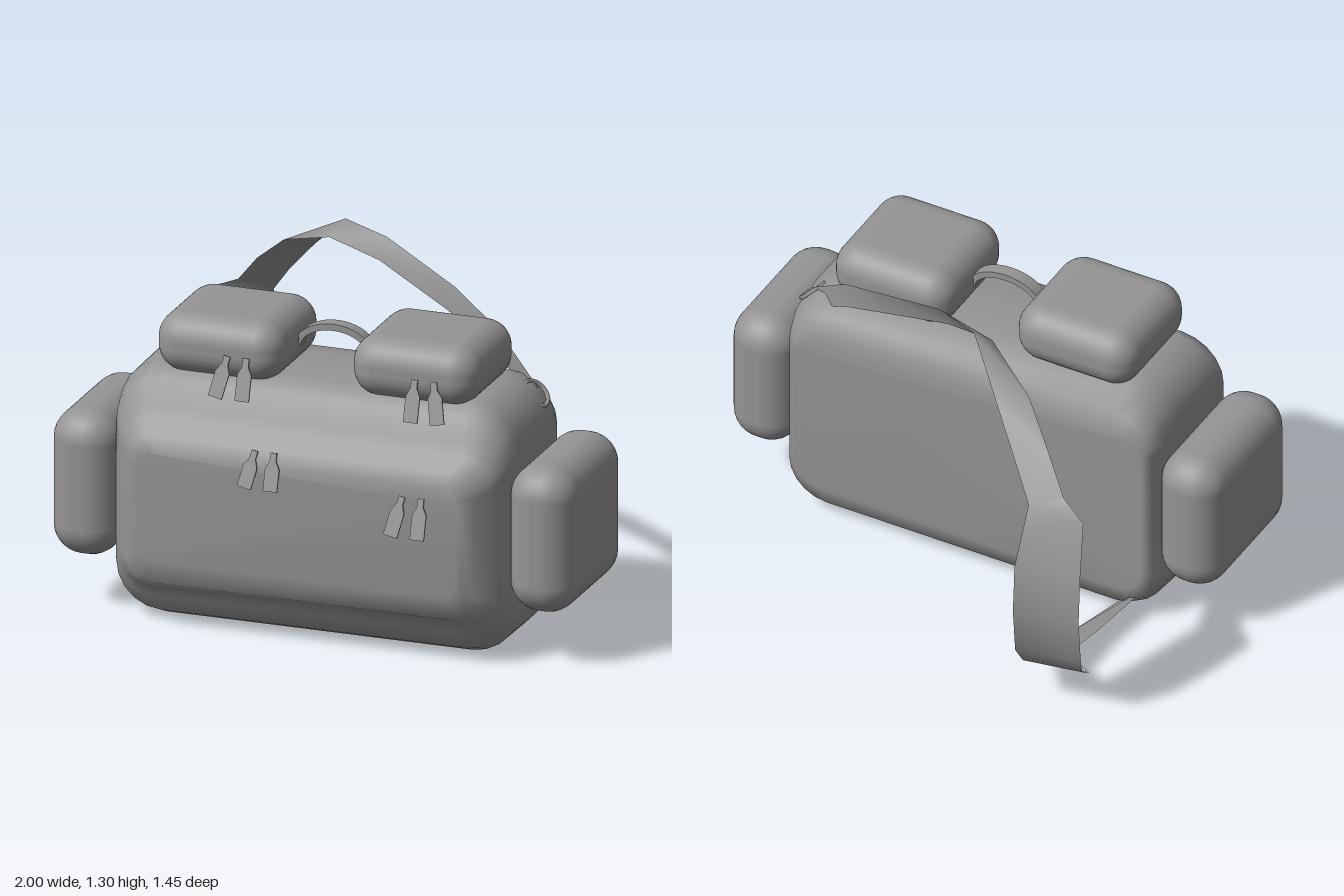
import * as THREE from 'three';
import { RoundedBoxGeometry } from 'three/addons/geometries/RoundedBoxGeometry.js';

const fabric = new THREE.MeshStandardMaterial({ color: 0x949494 });
const thin = new THREE.MeshStandardMaterial({ color: 0x949494, side: THREE.DoubleSide });

function add(parent, name, geometry, material = fabric) {
  const mesh = new THREE.Mesh(geometry, material);
  mesh.name = name;
  parent.add(mesh);
  return mesh;
}

// Padded block between two corners
function padded(min, max, radius) {
  const [w, h, d] = max.map((v, i) => v - min[i]);
  const g = new RoundedBoxGeometry(w, h, d, 4, radius);
  return g.translate(min[0] + w / 2, min[1] + h / 2, min[2] + d / 2);
}

// Rounded-rectangle sections joined from back to front: z, half width, bottom, top, corner radius
function bodyGeometry(sections) {
  const pos = [], index = [], steps = 5, n = 4 * (steps + 1);
  for (const [z, halfW, bottom, top, r] of sections) {
    for (let corner = 0; corner < 4; corner++) {
      const cx = (corner === 0 || corner === 3 ? 1 : -1) * (halfW - r);
      const cy = corner < 2 ? top - r : bottom + r;
      for (let i = 0; i <= steps; i++) {
        const a = (corner + i / steps) * Math.PI / 2;
        pos.push(cx + r * Math.cos(a), cy + r * Math.sin(a), z);
      }
    }
  }
  const last = sections.length - 1;
  for (let s = 0; s < last; s++) {
    for (let i = 0; i < n; i++) {
      const a = s * n + i, b = s * n + (i + 1) % n;
      index.push(a, b, b + n, a, b + n, a + n);
    }
  }
  // Back and front panels
  for (let i = 1; i < n - 1; i++) {
    index.push(0, i + 1, i, last * n, last * n + i, last * n + i + 1);
  }
  const g = new THREE.BufferGeometry();
  g.setAttribute('position', new THREE.Float32BufferAttribute(pos, 3));
  g.setIndex(index);
  g.computeVertexNormals();
  return g;
}

// Flat webbing: each station is a centre point and half of its width vector
function ribbon(stations) {
  const pos = [], index = [];
  stations.forEach(([x, y, z, wx, wy, wz], i) => {
    pos.push(x - wx, y - wy, z - wz, x + wx, y + wy, z + wz);
    const a = i * 2;
    if (i) index.push(a - 2, a - 1, a, a - 1, a + 1, a);
  });
  const g = new THREE.BufferGeometry();
  g.setAttribute('position', new THREE.Float32BufferAttribute(pos, 3));
  g.setIndex(index);
  g.computeVertexNormals();
  return g;
}

// Zip pull tab hanging down from the origin
function pullGeometry(length) {
  const half = [[0.012, 0], [0.012, -0.03], [0.027, -0.06], [0.027, -length]];
  const mirrored = half.map(([x, y]) => [-x, y]).reverse();
  const shape = new THREE.Shape([...half, ...mirrored].map(([x, y]) => new THREE.Vector2(x, y)));
  return new THREE.ExtrudeGeometry(shape, { depth: 0.006, bevelEnabled: false });
}

export function createModel() {
  const bag = new THREE.Group();
  bag.name = 'duffelBag';

  // Main compartment, swelling into the front pocket
  add(bag, 'body', bodyGeometry([
    [-0.01, 0.71, 0.14, 0.82, 0.1],
    [0.02, 0.74, 0.06, 0.9, 0.15],
    [0.08, 0.755, 0.025, 0.95, 0.17],
    [0.2, 0.76, 0.01, 0.97, 0.18],
    [0.46, 0.76, 0.015, 0.965, 0.18],
    [0.53, 0.75, 0.045, 0.92, 0.17],
    [0.575, 0.725, 0.11, 0.84, 0.14],
    [0.6, 0.71, 0.16, 0.79, 0.11],
    [0.655, 0.66, 0.19, 0.745, 0.09],
    [0.68, 0.61, 0.28, 0.69, 0.06],
  ]));

  // End pockets and top pockets
  for (const [side, s] of [['left', 1], ['right', -1]]) {
    const span = (a, b) => (s > 0 ? [a, b] : [-b, -a]);
    const [e0, e1] = span(0.745, 1);
    add(bag, side + 'EndPocket', padded([e0, 0.21, -0.005], [e1, 0.76, 0.595], 0.115));
    const [t0, t1] = span(0.13, 0.615);
    add(bag, side + 'TopPocket', padded([t0, 0.935, 0.065], [t1, 1.16, 0.54], 0.1));
  }

  // Carry handle arched between the top pockets
  const arch = new THREE.Shape();
  arch.absellipse(0, 1.03, 0.15, 0.1, 0, Math.PI, false);
  arch.lineTo(-0.125, 1.03);
  arch.absellipse(0, 1.03, 0.125, 0.075, Math.PI, 0, true);
  const handle = new THREE.ExtrudeGeometry(arch, { depth: 0.05, bevelEnabled: false, curveSegments: 10 });
  add(bag, 'handle', handle).position.z = 0.275;

  // Shoulder strap: upper webbing, wide pad, lower webbing
  add(bag, 'upperStrap', ribbon([
    [0.69, 0.89, 0.11, 0.015, 0.025, 0.015],
    [0.5, 1.03, 0.01, 0.01, 0.045, 0.005],
    [0.3, 1.13, -0.08, 0.01, 0.045, -0.005],
    [0.0, 1.25, -0.18, 0.01, 0.04, -0.015],
    [-0.2, 1.28, -0.25, 0.02, 0.028, -0.03],
    [-0.4, 1.155, -0.39, 0.045, -0.015, -0.035],
    [-0.54, 1.02, -0.5, 0.05, -0.025, -0.03],
    [-0.63, 0.91, -0.565, 0.058, -0.02, -0.025],
  ]), thin);
  add(bag, 'shoulderPad', ribbon([
    [-0.63, 0.91, -0.565, 0.058, -0.02, -0.025],
    [-0.68, 0.84, -0.605, 0.11, -0.04, -0.025],
    [-0.69, 0.68, -0.665, 0.12, 0, -0.025],
    [-0.7, 0.5, -0.695, 0.12, 0, -0.025],
    [-0.69, 0.3, -0.66, 0.12, 0, -0.025],
    [-0.67, 0.2, -0.59, 0.11, 0, -0.02],
    [-0.65, 0.1, -0.46, 0.09, 0, -0.015],
  ]), thin);
  add(bag, 'lowerStrap', ribbon([
    [-0.65, 0.1, -0.46, 0.09, 0, -0.015],
    [-0.58, 0.11, -0.42, 0.06, -0.02, 0],
    [-0.59, 0.07, -0.2, 0.06, -0.03, 0],
    [-0.63, 0.06, 0.08, 0.055, -0.05, 0],
  ]), thin);

  // Ring holding the upper strap
  const ring = add(bag, 'strapRing', new THREE.TorusGeometry(0.054, 0.009, 6, 16));
  ring.position.set(0.705, 0.895, 0.14);
  ring.lookAt(1.705, 1.895, 0.34);

  // Zip pulls in pairs: x, y, z of the pair, tab length, which tab is tilted
  const pairs = [
    [-0.285, 1.04, 0.54, 0.155, -1],
    [0.43, 1.04, 0.54, 0.155, 1],
    [-0.13, 0.745, 0.67, 0.14, -1],
    [0.435, 0.645, 0.68, 0.15, -1],
  ];
  for (const [x, y, z, length, tilted] of pairs) {
    const pair = new THREE.Group();
    pair.name = 'zipPulls';
    pair.position.set(x, y, z);
    for (const s of [-1, 1]) {
      const pull = add(pair, 'zipPull', pullGeometry(length), thin);
      pull.position.x = s * 0.036;
      pull.rotation.set(-0.3, 0, s === tilted ? s * 0.2 : 0);
    }
    bag.add(pair);
  }
  return bag;
}
